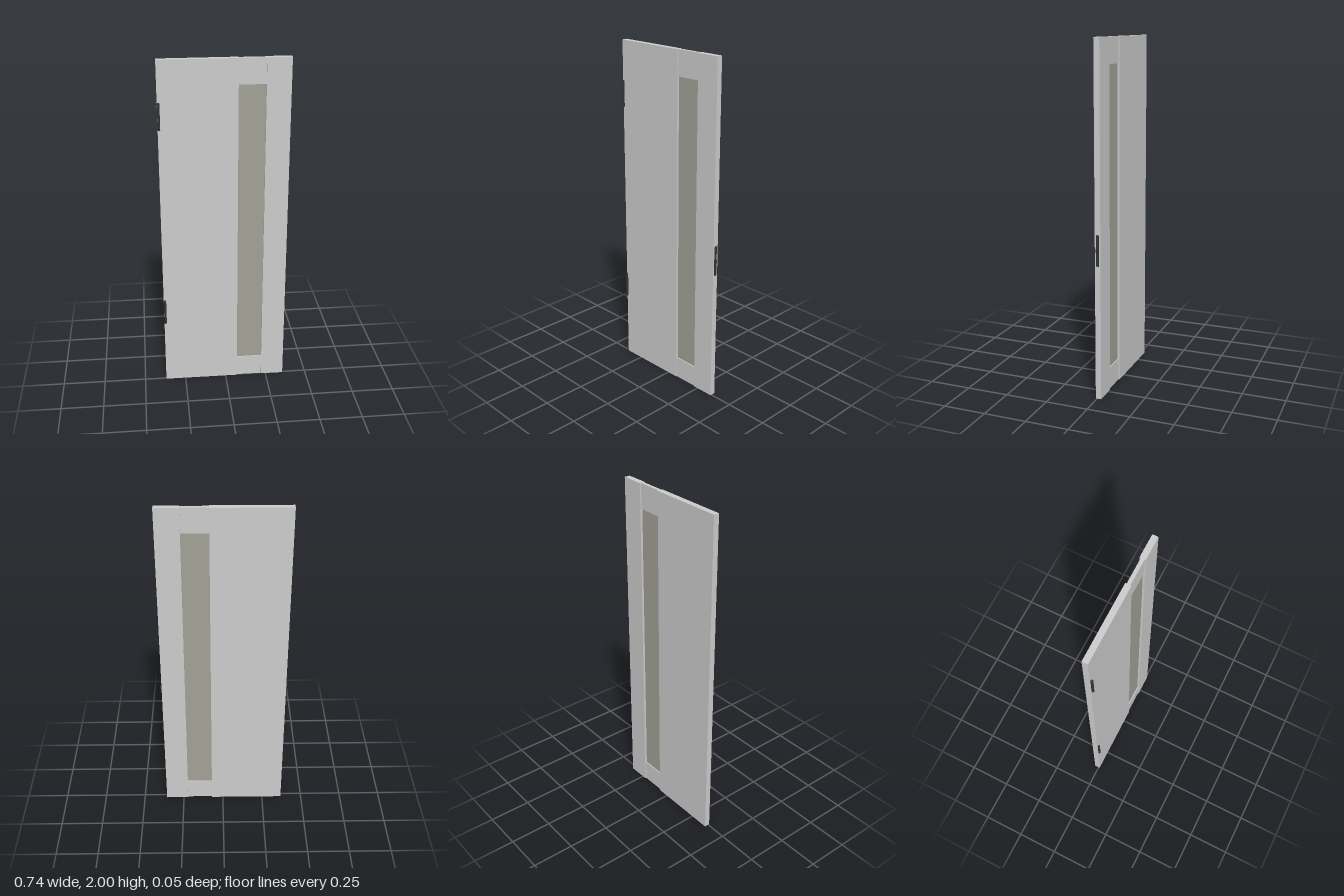
import * as THREE from 'three';

const grey = new THREE.MeshStandardMaterial({ color: 0xcccccc });
const glass = new THREE.MeshStandardMaterial({ color: 0xa2a196 });
const dark = new THREE.MeshStandardMaterial({ color: 0x333333 });

export function createModel() {
  const door = new THREE.Group();
  door.name = 'door';

  const add = (name, geometry, material) => {
    const mesh = new THREE.Mesh(geometry, material);
    mesh.name = name;
    door.add(mesh);
    return mesh;
  };
  // Box given by its limits on each axis
  const slab = (name, material, [x0, x1], [y0, y1], [z0, z1]) =>
    add(name, new THREE.BoxGeometry(x1 - x0, y1 - y0, z1 - z0), material)
      .position.set((x0 + x1) / 2, (y0 + y1) / 2, (z0 + z1) / 2);

  const left = -0.37, right = 0.358, inner = 0.07, outer = 0.222;
  const boardZ = [-0.025, 0.008], railZ = [-0.018, 0.002], midZ = -0.0085;

  // Full-height boards on both sides of the window strip
  slab('hingeSideBoard', grey, [left, inner], [0, 2], boardZ);
  slab('latchSideBoard', grey, [outer, right], [0, 2], boardZ);

  // Thinner rails above and below the window
  slab('bottomRail', grey, [inner, outer], [0, 0.13], railZ);
  slab('topRail', grey, [inner, outer], [1.855, 2], railZ);
  slab('windowPane', glass, [inner, outer], [0.13, 1.855], [-0.012, -0.004]);

  // Hinge barrels with chamfered ends
  const r = 0.007, h = 0.0775, c = 0.002;
  const barrel = [[0, -h], [r - c, -h], [r, -h + c], [r, h - c], [r - c, h], [0, h]]
    .map(([x, y]) => new THREE.Vector2(x, y));
  for (const [name, y] of [['lowerHinge', 0.483], ['upperHinge', 1.693]]) {
    add(name, new THREE.LatheGeometry(barrel, 24), dark).position.set(-0.363, y, 0.0155);
  }

  // Latch plate with round ends, on the door edge
  const w = 0.009, e = 0.081;
  const plate = new THREE.Shape();
  plate.absarc(0, e, w, 0, Math.PI);
  plate.absarc(0, -e, w, Math.PI, Math.PI * 2);
  const plateGeometry = new THREE.ExtrudeGeometry(plate, { depth: 0.001, bevelEnabled: false });
  plateGeometry.rotateY(Math.PI / 2);
  add('latchPlate', plateGeometry, dark).position.set(right, 0.865, midZ);

  // Wedge-shaped latch bolt: sloped on the front side
  const wedge = new THREE.Shape([[0, -0.0025], [0.01, 0.0125], [0, 0.0125]]
    .map(([x, y]) => new THREE.Vector2(x, y)));
  const boltGeometry = new THREE.ExtrudeGeometry(wedge, { depth: 0.022, bevelEnabled: false });
  boltGeometry.rotateX(-Math.PI / 2);
  add('latchBolt', boltGeometry, dark).position.set(right, 0.854, 0);

  return door;
}
